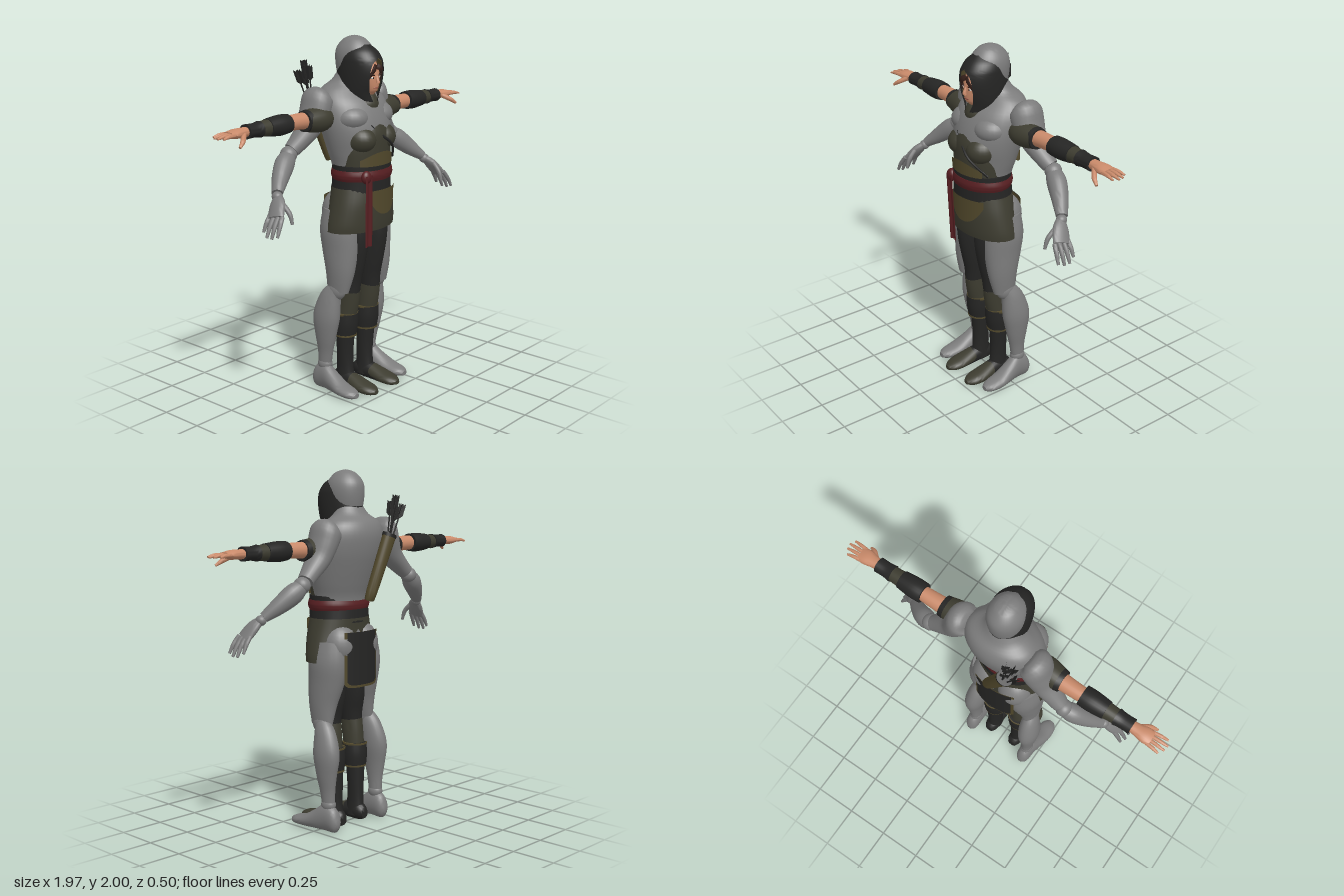
import * as THREE from 'three';
import { toCreasedNormals } from 'three/addons/utils/BufferGeometryUtils.js';

const V = (x, y, z) => new THREE.Vector3(x, y, z);
const make = (color) => new THREE.MeshStandardMaterial({ color, side: THREE.DoubleSide });

export function createModel() {
  const root = new THREE.Group();
  const M = {
    grey: make(0x7c7c7c), charcoal: make(0x252524), olive: make(0x3d3c30), bronze: make(0x51482b),
    red: make(0x581f22), skin: make(0xc98a6a), hair: make(0x35201a), eye: make(0xd8d0c8), lips: make(0x9c5a4a),
  };
  Object.entries(M).forEach(([k, m]) => { m.name = k; });

  const add = (name, mat, geo) => {
    const m = new THREE.Mesh(geo, mat);
    m.name = name;
    root.add(m);
    return m;
  };

  // Elliptical sections [x, y, z, side radius, front radius, front gap angle] swept along a path.
  function loft(name, mat, secs, { s = 1, axis = null, hint = V(0, 0, 1), sub = 4, n = 24, open = false } = {}) {
    const rows = [], last = secs.length - 1;
    const get = (i, k) => secs[Math.min(last, Math.max(0, i))][k] ?? 0;
    for (let r = 0; r <= last * sub; r++) {
      const i = Math.min(last - 1, Math.floor(r / sub)), t = r / sub - i;
      rows.push([0, 1, 2, 3, 4, 5].map((k) => {
        const [a, b, c, d] = [get(i - 1, k), get(i, k), get(i + 1, k), get(i + 2, k)];
        const v = b + 0.5 * t * (c - a + t * (2 * a - 5 * b + 4 * c - d + t * (3 * (b - c) + d - a)));
        const w = k > 2 ? Math.max(k === 5 ? 0 : 0.001, v) : v;
        return k === 0 ? w * s : w;
      }));
    }
    const pos = [], idx = [], gap = secs.some((q) => q[5]);
    const cols = gap ? n + 1 : n;
    const at = (r) => V(...rows[Math.min(rows.length - 1, Math.max(0, r))].slice(0, 3));
    rows.forEach(([, , , ru, rv, g], r) => {
      const t = axis ? axis.clone() : at(r + 1).sub(at(r - 1)).normalize();
      const v = hint.clone().addScaledVector(t, -hint.dot(t)).normalize();
      const u = v.clone().cross(t);
      for (let j = 0; j < cols; j++) {
        const a = Math.PI / 2 + g + (j / n) * (Math.PI * 2 - 2 * g);
        pos.push(...at(r).addScaledVector(u, ru * Math.cos(a)).addScaledVector(v, rv * Math.sin(a)).toArray());
      }
    });
    for (let r = 0; r < rows.length - 1; r++) for (let j = 0; j < n; j++) {
      const a = r * cols + j, b = r * cols + (j + 1) % cols;
      idx.push(a, b, a + cols, b, b + cols, a + cols);
    }
    if (!open && !gap) [0, rows.length - 1].forEach((r) => {
      const c = pos.length / 3;
      pos.push(...at(r).toArray());
      for (let j = 0; j < n; j++) {
        const a = r * cols + j, b = r * cols + (j + 1) % n;
        r ? idx.push(c, a, b) : idx.push(c, b, a);
      }
    });
    const g = new THREE.BufferGeometry();
    g.setAttribute('position', new THREE.Float32BufferAttribute(pos, 3));
    g.setIndex(idx);
    return add(name, mat, toCreasedNormals(g, 0.9));
  }
  const up = V(0, 1, 0);
  const ball = (name, mat, p, r) => {
    const m = add(name, mat, new THREE.SphereGeometry(1, 24, 16).scale(...r));
    m.position.set(...p);
    return m;
  };
  // Thin sheet: rule maps (u, v), each 0 to 1, to a point.
  const sheet = (name, mat, rule) => {
    const g = new THREE.PlaneGeometry(1, 1, 16, 8), p = g.attributes.position;
    for (let i = 0; i < p.count; i++) p.setXYZ(i, ...rule(p.getX(i) + 0.5, p.getY(i) + 0.5));
    g.computeVertexNormals();
    return add(name, mat, g);
  };

  // Mannequin trunk and head
  loft('mannequinTorso', M.grey, [[0, 1.2, 0.03, 0.165, 0.13], [0, 1.3, 0.03, 0.17, 0.135], [0, 1.38, 0.02, 0.19, 0.15],
    [0, 1.47, 0.01, 0.21, 0.17], [0, 1.56, -0.01, 0.222, 0.175], [0, 1.65, -0.035, 0.215, 0.16], [0, 1.715, -0.055, 0.18, 0.12],
    [0, 1.76, -0.045, 0.11, 0.085], [0, 1.82, -0.02, 0.075, 0.075]], { axis: up, n: 36 });
  loft('mannequinHead', M.grey, [[0, 1.72, -0.01, 0.06, 0.07], [0, 1.79, -0.01, 0.085, 0.095], [0, 1.87, -0.005, 0.098, 0.112],
    [0, 1.93, -0.005, 0.09, 0.106], [0, 1.975, -0.005, 0.06, 0.07], [0, 1.993, -0.005, 0.03, 0.035], [0, 2, -0.005, 0, 0]], { axis: up, n: 32 });
  loft('mannequinPelvis', M.grey, [[0, 0.93, 0.01, 0.06, 0.07], [0, 1.0, 0.01, 0.17, 0.11], [0, 1.1, 0.02, 0.18, 0.125], [0, 1.25, 0.03, 0.165, 0.125]], { axis: up });

  for (const s of [1, -1]) {
    // Mannequin arm
    ball('mannequinChestMuscle', M.grey, [s * 0.1, 1.57, 0.05], [0.1, 0.075, 0.105]);
    loft('mannequinShoulder', M.grey, [[0.19, 1.7, -0.075, 0.03, 0.05], [0.215, 1.68, -0.075, 0.078, 0.09], [0.245, 1.61, -0.075, 0.073, 0.092],
      [0.285, 1.53, -0.08, 0.062, 0.075], [0.35, 1.465, -0.09, 0.05, 0.058], [0.4, 1.42, -0.1, 0.043, 0.045]], { s });
    ball('mannequinElbow', M.grey, [s * 0.425, 1.4, -0.1], [0.045, 0.045, 0.047]);
    loft('mannequinForearm', M.grey, [[0.42, 1.4, -0.1, 0.035, 0.04], [0.47, 1.36, -0.085, 0.055, 0.052], [0.54, 1.3, -0.05, 0.046, 0.045],
      [0.61, 1.24, -0.005, 0.027, 0.032]], { s });
    ball('mannequinWrist', M.grey, [s * 0.62, 1.225, 0.005], [0.028, 0.028, 0.03]);
    loft('mannequinPalm', M.grey, [[0.62, 1.225, 0.01, 0.02, 0.026], [0.65, 1.19, 0.035, 0.024, 0.046], [0.69, 1.135, 0.06, 0.02, 0.05]], { s });
    [-0.042, -0.014, 0.014, 0.042].forEach((d, i) => {
      const len = [0.8, 1, 1, 0.88][i];
      loft('mannequinFinger', M.grey, [[0.685, 1.145, 0.06 + d, 0.012, 0.013], [0.685 + 0.035 * len, 1.145 - 0.05 * len, 0.065 + d * 1.15, 0.012, 0.012],
        [0.685 + 0.062 * len, 1.145 - 0.105 * len, 0.068 + d * 1.25, 0.007, 0.008]], { s, n: 10 });
    });
    loft('mannequinThumb', M.grey, [[0.64, 1.2, 0.06, 0.014, 0.014], [0.635, 1.155, 0.105, 0.013, 0.013], [0.635, 1.1, 0.125, 0.008, 0.008]], { s, n: 10 });

    // Mannequin leg
    ball('mannequinButtock', M.grey, [s * 0.085, 1.04, -0.04], [0.1, 0.12, 0.1]);
    loft('mannequinThigh', M.grey, [[0.12, 1.06, 0, 0.085, 0.11], [0.128, 0.95, 0, 0.1, 0.122], [0.137, 0.84, 0.01, 0.088, 0.113],
      [0.152, 0.72, 0.02, 0.068, 0.092], [0.165, 0.6, 0.015, 0.042, 0.07]], { s });
    ball('mannequinKnee', M.grey, [s * 0.172, 0.605, 0.01], [0.042, 0.058, 0.06]);
    loft('mannequinShin', M.grey, [[0.178, 0.61, 0.005, 0.036, 0.045], [0.185, 0.55, -0.025, 0.052, 0.068], [0.195, 0.44, -0.046, 0.06, 0.085],
      [0.198, 0.33, -0.05, 0.047, 0.068], [0.195, 0.24, -0.055, 0.036, 0.05], [0.193, 0.17, -0.06, 0.033, 0.042]], { s });
    ball('mannequinAnkle', M.grey, [s * 0.193, 0.155, -0.06], [0.038, 0.04, 0.045]);
    loft('mannequinFoot', M.grey, [[0.195, 0.055, -0.14, 0.015, 0.02], [0.195, 0.07, -0.115, 0.038, 0.065], [0.197, 0.085, -0.05, 0.044, 0.08],
      [0.204, 0.063, 0.02, 0.05, 0.058], [0.212, 0.043, 0.09, 0.055, 0.036], [0.215, 0.034, 0.16, 0.046, 0.026], [0.215, 0.03, 0.195, 0.02, 0.014]],
    { s, hint: up, axis: V(0, 0, 1) });

    // Clothed leg: trousers, wraps, cuff and boot
    loft('trouserLeg', M.charcoal, [[0.08, 1.03, 0.035, 0.075, 0.11], [0.08, 0.9, 0.035, 0.074, 0.116], [0.08, 0.75, 0.03, 0.067, 0.095],
      [0.083, 0.65, 0.03, 0.058, 0.072], [0.087, 0.575, 0.03, 0.053, 0.064]], { s });
    loft('shinWrap', M.olive, [[0.087, 0.59, 0.03, 0.055, 0.067], [0.087, 0.52, 0.022, 0.056, 0.066], [0.089, 0.44, 0.012, 0.056, 0.06]], { s });
    loft('bootCuff', M.charcoal, [[0.09, 0.455, 0.01, 0.07, 0.068], [0.09, 0.39, 0.007, 0.072, 0.07], [0.09, 0.325, 0.004, 0.065, 0.063]], { s });
    [[0.322, 0.066, 0.064], [0.452, 0.072, 0.07]].forEach(([y, a, b]) =>
      loft('cuffTrim', M.bronze, [[0.09, y - 0.005, 0.006, a, b], [0.09, y + 0.005, 0.006, a, b]], { s, sub: 1 }));
    loft('bootShaft', M.charcoal, [[0.089, 0.34, 0.002, 0.053, 0.056], [0.087, 0.22, -0.002, 0.045, 0.05], [0.086, 0.12, -0.002, 0.041, 0.052],
      [0.086, 0.03, 0, 0.044, 0.064]], { s });
    loft('bootFoot', M.charcoal, [[0.087, 0.045, -0.075, 0.025, 0.03], [0.087, 0.052, -0.04, 0.042, 0.05], [0.089, 0.05, 0.04, 0.045, 0.05],
      [0.092, 0.037, 0.11, 0.052, 0.036], [0.094, 0.031, 0.15, 0.053, 0.03]], { s, hint: up, axis: V(0, 0, 1) });
    loft('bootToe', M.olive, [[0.091, 0.048, 0.06, 0.048, 0.046], [0.094, 0.035, 0.14, 0.056, 0.034], [0.094, 0.028, 0.2, 0.048, 0.026],
      [0.094, 0.024, 0.238, 0.018, 0.012]], { s, hint: up, axis: V(0, 0, 1) });

    // Outstretched arm: sleeve, skin, bracers and hand
    loft('sleeve', M.olive, [[0.18, 1.585, -0.03, 0.04, 0.05], [0.24, 1.575, -0.03, 0.066, 0.07], [0.3, 1.573, -0.035, 0.066, 0.07],
      [0.365, 1.575, -0.04, 0.054, 0.06]], { s });
    loft('sleeveTrim', M.charcoal, [[0.345, 1.575, -0.04, 0.06, 0.064], [0.372, 1.575, -0.04, 0.055, 0.06]], { s, sub: 1 });
    loft('upperArm', M.skin, [[0.34, 1.578, -0.042, 0.046, 0.048], [0.43, 1.58, -0.045, 0.042, 0.044], [0.52, 1.58, -0.045, 0.04, 0.04]], { s });
    loft('upperBracer', M.charcoal, [[0.49, 1.582, -0.045, 0.05, 0.056], [0.55, 1.58, -0.045, 0.054, 0.058], [0.635, 1.58, -0.045, 0.046, 0.05]], { s });
    loft('armWrap', M.olive, [[0.62, 1.58, -0.045, 0.044, 0.046], [0.71, 1.58, -0.045, 0.037, 0.04]], { s });
    loft('lowerBracer', M.charcoal, [[0.69, 1.58, -0.045, 0.043, 0.047], [0.73, 1.58, -0.045, 0.036, 0.042], [0.785, 1.58, -0.045, 0.038, 0.043]], { s });
    loft('palm', M.skin, [[0.77, 1.58, -0.045, 0.026, 0.03], [0.81, 1.58, -0.045, 0.025, 0.034], [0.86, 1.58, -0.045, 0.024, 0.044],
      [0.9, 1.58, -0.045, 0.015, 0.042]], { s });
    [-0.033, -0.011, 0.011, 0.033].forEach((d, i) => {
      const len = [0.07, 0.09, 0.095, 0.08][i];
      loft('finger', M.skin, [[0.885, 1.58, -0.045 + d, 0.011, 0.011], [0.89 + len / 2, 1.58, -0.045 + d * 1.15, 0.01, 0.01],
        [0.89 + len, 1.573, -0.045 + d * 1.3, 0.005, 0.006]], { s, n: 10 });
    });
    loft('thumb', M.skin, [[0.82, 1.575, -0.02, 0.014, 0.014], [0.86, 1.55, 0.015, 0.013, 0.013], [0.895, 1.525, 0.03, 0.007, 0.007]], { s, n: 10 });

    // Chest lobe and face details
    ball('chestCloth', M.olive, [s * 0.083, 1.455, 0.095], [0.086, 0.08, 0.102]);
    ball('eye', M.eye, [s * 0.029, 1.785, 0.143], [0.012, 0.006, 0.008]);
    ball('iris', M.hair, [s * 0.029, 1.785, 0.15], [0.005, 0.005, 0.003]);
    ball('brow', M.hair, [s * 0.03, 1.8, 0.147], [0.019, 0.005, 0.007]).rotation.z = s * 0.2;
    loft('hairLock', M.hair, [[0.005, 1.845, 0.145, 0.016, 0.006], [0.03, 1.825, 0.155, 0.014, 0.006], [0.055, 1.76, 0.125, 0.004, 0.004]], { s, n: 10 });
  }

  // Face, hood and scarf
  loft('face', M.skin, [[0, 1.64, 0.05, 0.045, 0.05], [0, 1.69, 0.065, 0.042, 0.055], [0, 1.715, 0.075, 0.045, 0.072], [0, 1.76, 0.07, 0.063, 0.083],
    [0, 1.81, 0.065, 0.069, 0.085], [0, 1.87, 0.06, 0.055, 0.07]], { axis: up });
  loft('nose', M.skin, [[0, 1.795, 0.147, 0.007, 0.008], [0, 1.765, 0.157, 0.009, 0.012], [0, 1.753, 0.157, 0.012, 0.01]], { axis: up, n: 12 });
  ball('mouth', M.lips, [0, 1.73, 0.146], [0.02, 0.006, 0.006]);
  const hood = [[1.655, 0.04, 0.075, 0.1, 0.2], [1.7, 0.03, 0.095, 0.115, 0.42], [1.75, 0.028, 0.102, 0.135, 0.55], [1.81, 0.033, 0.105, 0.14, 0.56],
    [1.86, 0.035, 0.104, 0.135, 0.42], [1.89, 0.032, 0.1, 0.125, 0], [1.925, 0.025, 0.083, 0.105, 0], [1.955, 0.02, 0.045, 0.07, 0]];
  loft('hood', M.charcoal, hood.map(([y, z, a, b, g]) => [0, y, z, a, b, g]), { axis: up, n: 40 });
  loft('hoodLining', M.bronze, hood.slice(1, 6).map(([y, z, a, b, g]) => [0, y, z - 0.004, a - 0.006, b - 0.006, Math.max(0, g - 0.03)]), { axis: up, n: 40 });
  loft('scarf', M.olive, [[0, 1.6, 0.03, 0.085, 0.105], [0, 1.64, 0.035, 0.088, 0.108], [0, 1.685, 0.035, 0.073, 0.09], [0, 1.7, 0.035, 0.05, 0.07]], { axis: up });

  // Tunic body, belly band and strap
  loft('tunicBody', M.olive, [[0, 1.3, 0.06, 0.165, 0.122], [0, 1.4, 0.06, 0.172, 0.128], [0, 1.48, 0.06, 0.16, 0.128], [0, 1.54, 0.06, 0.12, 0.11]], { axis: up });
  sheet('bellyBand', M.bronze, (u, v) => {
    const x = (u - 0.5) * 0.27;
    return [x, 1.315 + v * (0.075 - 2.2 * x * x), 0.068 + 0.128 * Math.sqrt(1 - (x / 0.172) ** 2)];
  });
  loft('chestStrap', M.charcoal, [[-0.06, 1.535, 0.16, 0.008, 0.005], [0, 1.48, 0.18, 0.008, 0.006], [0.08, 1.42, 0.192, 0.008, 0.006],
    [0.165, 1.33, 0.13, 0.008, 0.005]], { n: 8 });

  // Belt, sash and skirt
  loft('belt', M.charcoal, [[0, 1.165, 0.042, 0.183, 0.147], [0, 1.24, 0.044, 0.18, 0.147], [0, 1.315, 0.046, 0.181, 0.146]], { axis: up, n: 36 });
  loft('sash', M.red, [[0, 1.232, 0.046, 0.18, 0.147], [0, 1.26, 0.046, 0.189, 0.154], [0, 1.29, 0.046, 0.182, 0.149]], { axis: up, n: 36 });
  sheet('sashTail', M.red, (u, v) => [-0.135 + 0.055 * u + 0.012 * (1 - v) , 0.87 + 0.4 * v, 0.19 - 0.012 * (1 - v) + 0.004 * Math.sin(u * 9)]);
  ball('sashKnot', M.red, [-0.11, 1.26, 0.172], [0.032, 0.036, 0.025]);
  loft('tunicSkirt', M.olive, [[0, 1.19, 0.04, 0.184, 0.145], [0, 1.1, 0.043, 0.208, 0.147], [0, 1.0, 0.036, 0.23, 0.147], [0, 0.95, 0.03, 0.235, 0.146]],
    { axis: V(0, -1, 0), n: 40, open: true });
  sheet('frontFlap', M.bronze, (u, v) => {
    const x = -0.1 + 0.25 * u, low = 1.04 + 0.1 * Math.abs(2 * u - 1) ** 2.5, y = low + (1.18 - low) * v;
    return [x, y, 0.052 + 0.147 * Math.sqrt(1 - (x / 0.2) ** 2)];
  });
  const backPanel = (name, mat, w, y0, y1, off) => sheet(name, mat, (u, v) => {
    const x = (u - 0.5) * 2 * w;
    const round = v < 0.2 ? 0.02 * Math.abs(2 * u - 1) ** 8 * (1 - v / 0.2) : 0;
    return [x, y0 + (y1 - y0) * v + round, -0.148 - off + 1.6 * x * x];
  });
  backPanel('backPanelTrim', M.bronze, 0.128, 0.81, 1.12, 0);
  backPanel('backPanel', M.charcoal, 0.114, 0.824, 1.12, 0.003);

  // Quiver and arrows
  loft('quiver', M.bronze, [[0, 1.295, -0.185, 0.026, 0.022], [-0.015, 1.34, -0.19, 0.033, 0.029], [-0.13, 1.645, -0.215, 0.042, 0.034]], { sub: 2 });
  loft('quiverRim', M.charcoal, [[-0.126, 1.635, -0.214, 0.044, 0.036], [-0.132, 1.652, -0.216, 0.044, 0.036]], { sub: 1 });
  [[-0.215, 1.81, -0.235], [-0.16, 1.86, -0.235], [-0.185, 1.835, -0.205], [-0.14, 1.83, -0.215], [-0.15, 1.8, -0.245]].forEach(([x, y, z]) => {
    const tip = V(x, y, z), base = V(-0.13 + (x + 0.17) * 0.4, 1.63, -0.213 + (z + 0.22) * 0.5);
    loft('arrowShaft', M.charcoal, [[...base.toArray(), 0.004, 0.004], [...tip.toArray(), 0.004, 0.004]], { sub: 1, n: 8 });
    const dir = tip.clone().sub(base).normalize();
    const shape = new THREE.Shape([[0, -0.085], [0.02, -0.065], [0.02, 0.005], [0, -0.012], [-0.02, 0.005], [-0.02, -0.065]].map((p) => new THREE.Vector2(...p)));
    for (const a of [0, Math.PI / 2]) {
      const f = add('arrowFeather', M.charcoal, new THREE.ShapeGeometry(shape).rotateY(a + 0.4));
      f.position.copy(tip);
      f.quaternion.setFromUnitVectors(up, dir);
    }
  });
  return root;
}
